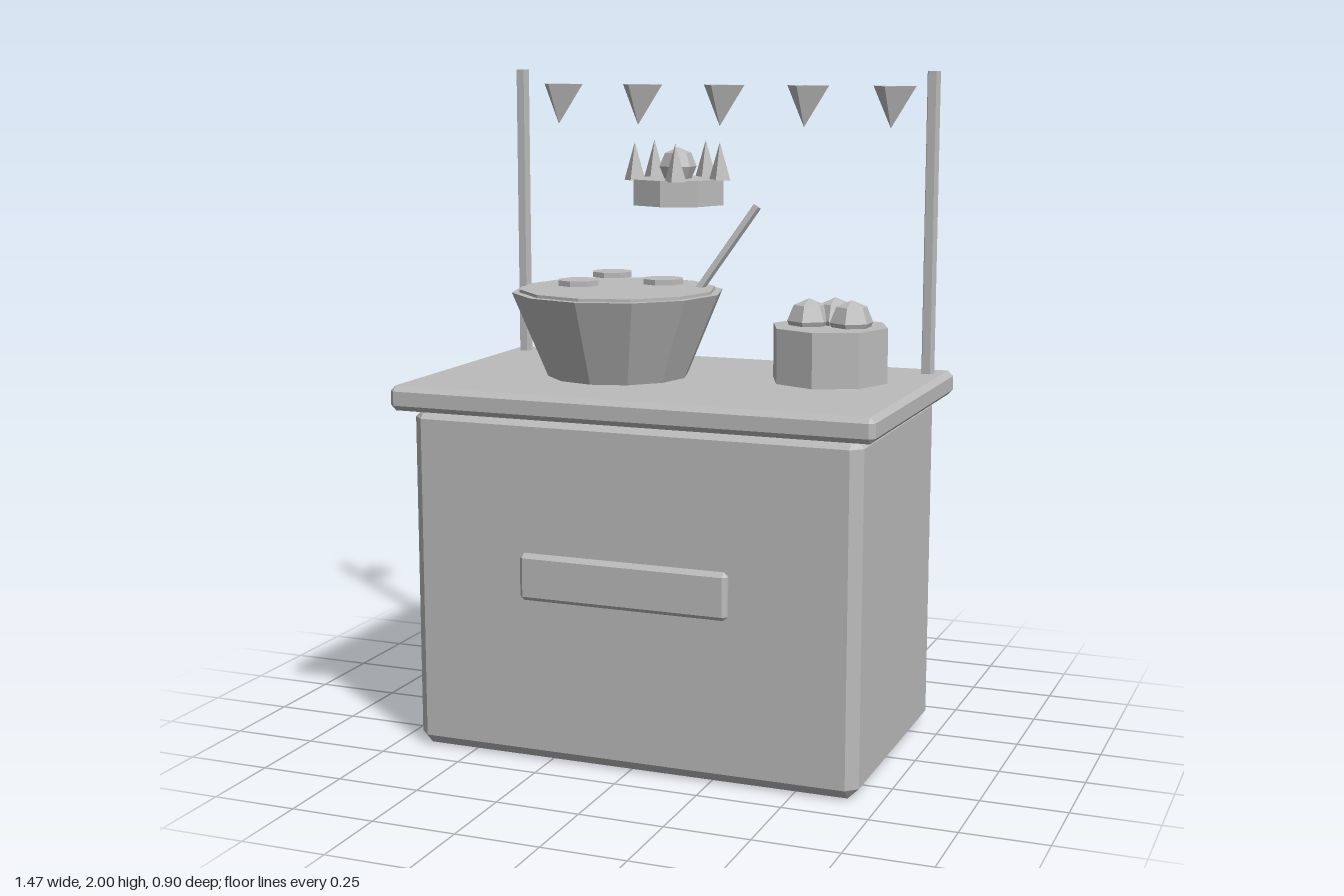
import * as THREE from 'three';
import { ConvexGeometry } from 'three/addons/geometries/ConvexGeometry.js';

const stone = new THREE.MeshStandardMaterial({ color: 0xbbbbbb, flatShading: true });
stone.name = 'plain grey';

// Box with every edge cut by a single flat chamfer.
function chamferBox(w, h, d, c) {
  const pts = [];
  for (const sx of [-1, 1]) for (const sy of [-1, 1]) for (const sz of [-1, 1]) {
    const x = w / 2, y = h / 2, z = d / 2;
    pts.push(
      new THREE.Vector3(sx * x, sy * (y - c), sz * (z - c)),
      new THREE.Vector3(sx * (x - c), sy * y, sz * (z - c)),
      new THREE.Vector3(sx * (x - c), sy * (y - c), sz * z));
  }
  return new ConvexGeometry(pts);
}

// Upright faceted cylinder or cone with its first corner towards the back.
function prism(rTop, rBottom, h, sides) {
  return new THREE.CylinderGeometry(rTop, rBottom, h, sides, 1, false, Math.PI);
}

export function createModel() {
  const model = new THREE.Group();
  model.name = 'foodStall';
  const add = (name, geometry, x, y, z, parent = model) => {
    const mesh = new THREE.Mesh(geometry, stone);
    mesh.name = name;
    mesh.position.set(x, y, z);
    parent.add(mesh);
    return mesh;
  };
  const group = (name, x, y, z) => {
    const g = new THREE.Group();
    g.name = name;
    g.position.set(x, y, z);
    model.add(g);
    return g;
  };

  // Stall: body, worktop and front plaque
  add('body', chamferBox(1.37, 1.03, 0.8, 0.032), 0, 0.515, 0);
  add('counterTop', chamferBox(1.466, 0.074, 0.89, 0.016), 0, 1.061, 0);
  add('frontPlaque', chamferBox(0.636, 0.138, 0.032, 0.012), 0, 0.565, 0.435);

  // Poles at the back corners
  for (const s of [-1, 1]) {
    add(s < 0 ? 'rightPole' : 'leftPole', prism(0.021, 0.021, 0.91, 5), s * 0.671, 1.545, -0.354);
  }

  // Row of hanging pennants: three-sided cones with the tip down
  const bunting = group('bunting', 0, 1.893, -0.352);
  for (let i = -2; i <= 2; i++) {
    const pennant = add('pennant', prism(0, 0.077, 0.125, 3), i * 0.272, 0, 0, bunting);
    pennant.rotation.x = Math.PI;
  }

  // Bowl with its filling and floating slices
  const bowl = group('bowl', -0.193, 0, 0);
  add('bowlShell', prism(0.318, 0.212, 0.254, 12), 0, 1.224, 0, bowl);
  add('filling', prism(0.295, 0.295, 0.03, 12), 0, 1.345, 0, bowl);
  for (let i = 0; i < 3; i++) {
    const a = (i * Math.PI * 2) / 3;
    add('slice', prism(0.063, 0.063, 0.016, 8), 0.145 * Math.cos(a), 1.387, 0.145 * Math.sin(a), bowl);
  }

  // Slanted ladle handle
  const from = new THREE.Vector3(-0.03, 1.27, -0.09);
  const to = new THREE.Vector3(0.19, 1.603, -0.16);
  const along = to.clone().sub(from);
  const mid = from.clone().add(to).multiplyScalar(0.5);
  const ladle = add('ladle', prism(0.014, 0.014, along.length(), 5), mid.x, mid.y, mid.z);
  ladle.quaternion.setFromUnitVectors(new THREE.Vector3(0, 1, 0), along.normalize());

  // Tub holding three buns
  const tub = group('bunTub', 0.447, 0, -0.08);
  add('tub', prism(0.175, 0.175, 0.162, 8), 0, 1.186, 0, tub);
  const ball = (r) => new THREE.SphereGeometry(r, 6, 4).rotateY(Math.PI / 2);
  for (const [x, z] of [[-0.065, 0.003], [0.065, 0.003], [0, -0.049]]) {
    add('bun', ball(0.065), x, 1.28, z, tub);
  }

  // Floating crown with five spikes and a centre ball
  const crown = group('crown', 0, 0, 0);
  add('crownBand', prism(0.142, 0.142, 0.075, 8), 0, 1.653, 0, crown);
  add('crownBall', ball(0.055), 0, 1.726, 0, crown);
  for (let i = 0; i < 5; i++) {
    const a = (i * Math.PI * 2) / 5;
    add('crownSpike', prism(0, 0.033, 0.11, 4), 0.13 * Math.cos(a), 1.743, 0.13 * Math.sin(a), crown);
  }

  return model;
}
